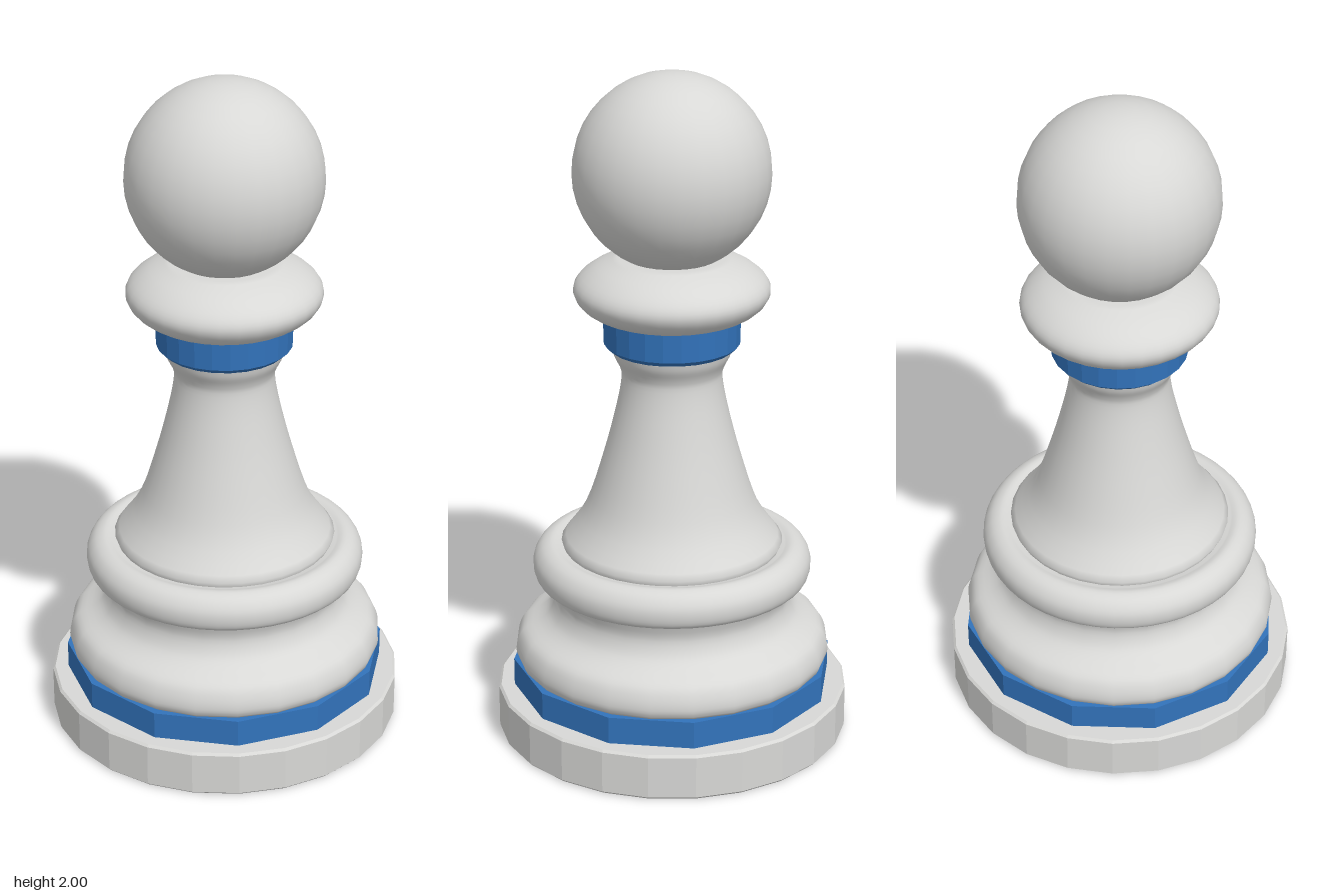
import * as THREE from 'three';

export function createModel() {
  const model = new THREE.Group();
  model.name = 'pawn';

  const ivory = new THREE.MeshStandardMaterial({ color: 0xd8d8d6 });
  ivory.name = 'light grey';
  const blue = new THREE.MeshStandardMaterial({ color: 0x3273bb });
  blue.name = 'blue';

  // Turns a [radius, height] profile, listed from bottom to top
  function turn(name, profile, segments, material, { flat = false, phi = 0 } = {}) {
    const points = profile.map(([r, y]) => new THREE.Vector2(r, y));
    let geometry = new THREE.LatheGeometry(points, segments, phi);
    if (flat) {
      geometry = geometry.toNonIndexed();
      geometry.computeVertexNormals();
    }
    const mesh = new THREE.Mesh(geometry, material);
    mesh.name = name;
    model.add(mesh);
  }

  // Passes a smooth curve through a few profile points
  function smooth(profile, count) {
    const curve = new THREE.SplineCurve(profile.map(([r, y]) => new THREE.Vector2(r, y)));
    return curve.getPoints(count).map((p) => [p.x, p.y]);
  }

  // Faceted plinth with a narrow bevel
  turn('base', [
    [0, 0], [0.518, 0], [0.525, 0.007], [0.525, 0.133], [0.518, 0.14], [0, 0.14],
  ], 24, ivory, { flat: true });

  // Twelve-sided band above the plinth
  turn('lowerBand', [[0.478, 0.138], [0.478, 0.222], [0, 0.222]], 12, blue,
    { flat: true, phi: Math.PI / 12 });

  // Rounded foot narrowing to a waist
  turn('foot', [
    [0, 0.222], [0.455, 0.222],
    ...smooth([[0.462, 0.228], [0.47, 0.25], [0.465, 0.285], [0.445, 0.32],
      [0.395, 0.35], [0.366, 0.38], [0.353, 0.425], [0.366, 0.472]], 24),
  ], 24, ivory);

  // Wide ring below the stem
  turn('lowerRing', [
    [0.34, 0.47],
    ...smooth([[0.366, 0.472], [0.4, 0.483], [0.412, 0.51], [0.41, 0.545],
      [0.39, 0.575], [0.36, 0.588], [0.335, 0.582]], 20),
    [0.3, 0.575],
  ], 48, ivory);

  // Concave stem with a flared lip
  turn('stem', [
    [0.32, 0.575],
    ...smooth([[0.328, 0.595], [0.256, 0.7], [0.202, 0.86], [0.163, 1.01],
      [0.147, 1.1], [0.151, 1.135], [0.168, 1.17], [0.175, 1.195]], 28),
    [0, 1.2],
  ], 32, ivory);

  // Band under the collar
  turn('upperBand', [
    [0, 1.195], [0.182, 1.195], [0.198, 1.21], [0.2, 1.295], [0, 1.295],
  ], 24, blue, { flat: true });

  // Collar beneath the head
  turn('collar', [
    [0, 1.29],
    ...smooth([[0.19, 1.29], [0.235, 1.307], [0.27, 1.335], [0.284, 1.37],
      [0.268, 1.405], [0.22, 1.44], [0.155, 1.465]], 20),
    [0, 1.468],
  ], 32, ivory);

  // Ball head
  const head = new THREE.Mesh(new THREE.SphereGeometry(0.284, 28, 20), ivory);
  head.name = 'head';
  head.position.y = 1.716;
  model.add(head);

  return model;
}
